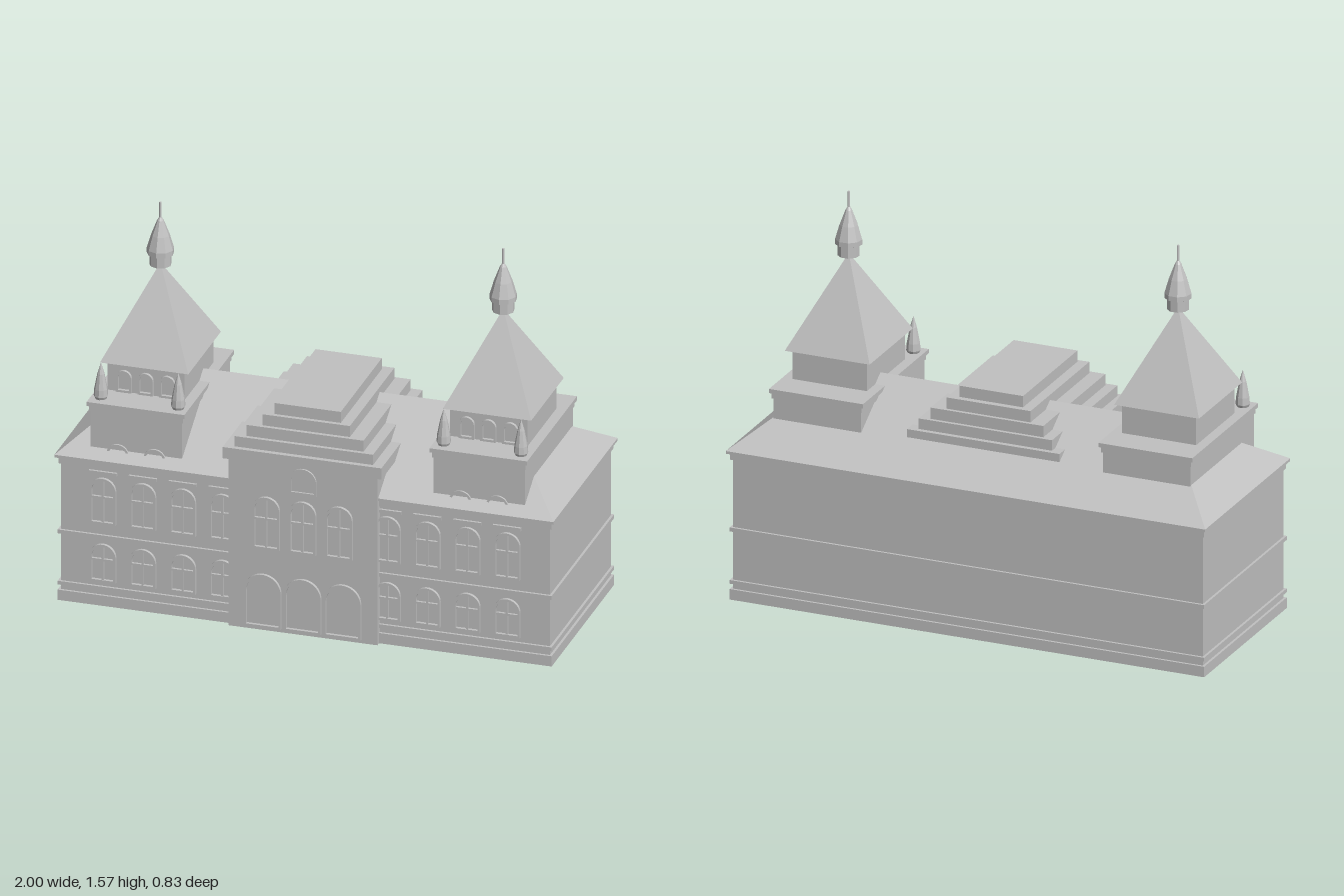
import * as THREE from 'three';
import { ConvexGeometry } from 'three/addons/geometries/ConvexGeometry.js';

const stone = new THREE.MeshStandardMaterial({ color: 0xc0c0c0 });
stone.name = 'grey stone';
stone.flatShading = true;

function add(parent, name, geometry, x = 0, y = 0, z = 0) {
  const mesh = new THREE.Mesh(geometry, stone);
  mesh.name = name;
  mesh.position.set(x, y, z);
  parent.add(mesh);
  return mesh;
}

// Box given by half width, y range and z range
function block(parent, name, hx, y0, y1, z0, z1, x = 0) {
  return add(parent, name, new THREE.BoxGeometry(hx * 2, y1 - y0, z1 - z0), x, (y0 + y1) / 2, (z0 + z1) / 2);
}

// Outline with a round-arched top, standing on y = base
function arch(path, w, h, base = 0) {
  const r = w / 2;
  path.moveTo(-r, base);
  path.lineTo(r, base);
  path.lineTo(r, h - r);
  path.absarc(0, h - r, r, 0, Math.PI, false);
  path.lineTo(-r, base);
  return path;
}

// Raised arched frame, with optional glazing bars
function archedWindow(parent, name, x, y, z, w, h, bars = true, depth = 0.013) {
  const group = new THREE.Group();
  group.name = name;
  group.position.set(x, y, z);
  const t = 0.009;
  const shape = arch(new THREE.Shape(), w, h);
  shape.holes.push(arch(new THREE.Path(), w - 2 * t, h - t, t));
  add(group, 'frame', new THREE.ExtrudeGeometry(shape, { depth, bevelEnabled: false, curveSegments: 10 }));
  if (bars) {
    block(group, 'mullion', 0.004, t, h - t, 0, depth * 0.8);
    block(group, 'transom', w / 2 - t, h * 0.56, h * 0.56 + 0.008, 0, depth * 0.8);
  }
  parent.add(group);
}

function lathe(parent, name, profile, sides, x, z) {
  const points = profile.map(([r, y]) => new THREE.Vector2(r, y));
  add(parent, name, new THREE.LatheGeometry(points, sides), x, 0, z);
}

function buildWings(model) {
  const group = new THREE.Group();
  group.name = 'mainBuilding';
  model.add(group);
  block(group, 'walls', 0.98, 0, 0.61, -0.39, 0.37);
  block(group, 'plinth', 0.99, 0, 0.043, -0.4, 0.38);
  block(group, 'plinthMoulding', 0.99, 0.065, 0.08, -0.4, 0.38);
  block(group, 'floorBand', 0.99, 0.28, 0.296, -0.4, 0.38);
  block(group, 'cornice', 0.988, 0.574, 0.605, -0.398, 0.378);

  // Hipped roof with a thin eave
  const corners = [];
  for (const sx of [-1, 1]) {
    for (const z of [-0.413, 0.39]) for (const y of [0.602, 0.613]) corners.push(new THREE.Vector3(sx, y, z));
    corners.push(new THREE.Vector3(sx * 0.68, 0.866, -0.012));
  }
  add(group, 'hippedRoof', new ConvexGeometry(corners));

  // Two rows of windows on both sides of the pavilion
  for (const side of [-1, 1]) {
    for (let i = 0; i < 4; i++) {
      const x = side * (0.81 - i * 0.16);
      archedWindow(group, 'lowerWindow', x, 0.1, 0.37, 0.105, 0.158);
      archedWindow(group, 'upperWindow', x, 0.343, 0.37, 0.105, 0.192);
      block(group, 'lintel', 0.056, 0.55, 0.563, 0.37, 0.38, x);
    }
  }
}

function buildPavilion(model) {
  const group = new THREE.Group();
  group.name = 'centralPavilion';
  model.add(group);
  block(group, 'pavilionWalls', 0.298, 0, 0.71, 0, 0.4);

  // Stepped roof: half width, bottom, top, back, front
  const tiers = [
    [0.318, 0.705, 0.752, -0.245, 0.412],
    [0.278, 0.752, 0.795, -0.225, 0.392],
    [0.235, 0.795, 0.841, -0.21, 0.376],
    [0.175, 0.841, 0.887, -0.195, 0.36],
    [0.133, 0.887, 0.933, -0.17, 0.343],
  ];
  tiers.forEach((t) => block(group, 'roofTier', ...t));

  for (const i of [-1, 0, 1]) {
    archedWindow(group, 'entranceArch', i * 0.16, 0.015, 0.4, 0.148, 0.222, false);
    archedWindow(group, 'hallWindow', i * 0.146, 0.345, 0.4, 0.108, 0.218);
  }
  archedWindow(group, 'gableWindow', 0, 0.592, 0.4, 0.11, 0.108, false, 0.008);
}

function buildTower(model, side) {
  const x = side * 0.687, z = 0.04;
  const group = new THREE.Group();
  group.name = side > 0 ? 'leftTower' : 'rightTower';
  model.add(group);
  block(group, 'towerBase', 0.183, 0.55, 0.8, z - 0.297, z + 0.3, x);
  block(group, 'lowerLedge', 0.188, 0.795, 0.818, z - 0.303, z + 0.305, x);
  block(group, 'upperLedge', 0.196, 0.818, 0.835, z - 0.31, z + 0.312, x);
  block(group, 'belfry', 0.155, 0.83, 0.957, z - 0.18, z + 0.18, x);

  // Four-sided spire roof
  const [hx, hz] = [0.177, 0.204];
  const points = [new THREE.Vector3(0, 1.312, 0)];
  for (const sx of [-1, 1]) for (const sz of [-1, 1]) points.push(new THREE.Vector3(sx * hx, 0.956, sz * hz));
  add(group, 'pyramidRoof', new ConvexGeometry(points), x, 0, z);

  lathe(group, 'finial', [
    [0, 1.305], [0.043, 1.305], [0.043, 1.348], [0.053, 1.352], [0.053, 1.372],
    [0.036, 1.43], [0.013, 1.49], [0.005, 1.503], [0.005, 1.566], [0, 1.566],
  ], 9, x, z);

  for (const s of [-1, 1]) {
    lathe(group, 'pinnacle', [
      [0, 0.833], [0.022, 0.833], [0.028, 0.846], [0.026, 0.875], [0.014, 0.938], [0, 0.985],
    ], 9, x + s * 0.155, 0.3);
    archedWindow(group, 'dormerArch', x + s * 0.074, 0.57, 0.34, 0.09, 0.1, false, 0.008);
  }
  for (const i of [-1, 0, 1]) {
    archedWindow(group, 'belfryArch', x + i * 0.087, 0.837, z + 0.18, 0.062, 0.09, false);
  }
}

export function createModel() {
  const model = new THREE.Group();
  model.name = 'townHall';
  buildWings(model);
  buildPavilion(model);
  for (const side of [-1, 1]) buildTower(model, side);
  return model;
}
